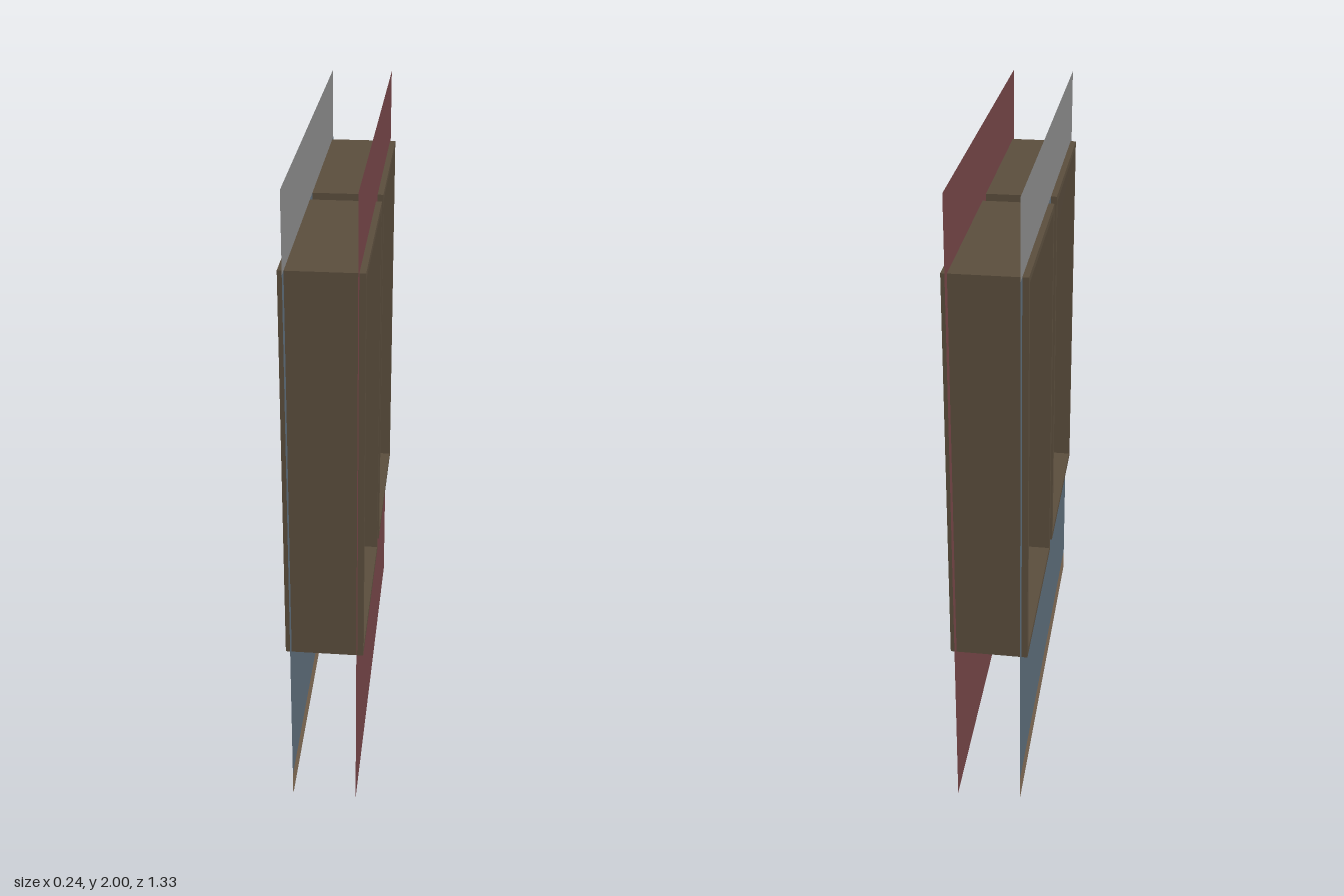
import * as THREE from 'three';

const material = (name, color, side = THREE.FrontSide) => {
  const m = new THREE.MeshStandardMaterial({ color, side });
  m.name = name;
  return m;
};

// Rectangle outline in the wall plane (z along the wall, y up)
function rect(Type, z0, z1, y0, y1) {
  const p = new Type();
  p.moveTo(z0, y0);
  p.lineTo(z1, y0);
  p.lineTo(z1, y1);
  p.lineTo(z0, y1);
  p.closePath();
  return p;
}

export function createModel() {
  const wood = material('brown wood', 0x5b4e3d);
  const maroon = material('maroon siding', 0x734446, THREE.DoubleSide);
  const blue = material('blue wall paint', 0x5b6a77, THREE.DoubleSide);
  const grey = material('grey wall paint', 0x888888, THREE.DoubleSide);
  const base = material('tan baseboard', 0x806b55, THREE.DoubleSide);
  const black = material('black screen', 0x0d0d0d, THREE.DoubleSide);

  const model = new THREE.Group();
  model.name = 'wallWithWindows';

  const W = 0.667, H = 2, WALL = 0.1;       // wall half length, height, half gap
  const Y0 = 0.537, Y1 = 1.77, HALF = 0.3;  // window opening
  const centres = [-0.333, 0.333];

  function add(parent, name, geometry, mat, x) {
    geometry.rotateY(-Math.PI / 2);
    const mesh = new THREE.Mesh(geometry, mat);
    mesh.name = name;
    mesh.position.x = x;
    parent.add(mesh);
  }

  // Flat sheet at a given x
  const sheet = (parent, name, mat, x, z0, z1, y0, y1, holes = []) => {
    const s = rect(THREE.Shape, z0, z1, y0, y1);
    s.holes.push(...holes);
    add(parent, name, new THREE.ShapeGeometry(s), mat, x);
  };

  // Rectangular frame running from x0 to x1
  const frame = (parent, name, x0, x1, outer, inner) => {
    const s = rect(THREE.Shape, ...outer);
    s.holes.push(rect(THREE.Path, ...inner));
    const g = new THREE.ExtrudeGeometry(s, { depth: x1 - x0, bevelEnabled: false });
    add(parent, name, g, wood, x1);
  };

  // Outside wall with two openings
  sheet(model, 'outsideWall', maroon, WALL, -W, W, 0, H,
    centres.map(c => rect(THREE.Path, c - HALF, c + HALF, Y0, Y1)));

  // Inside wall in painted bands
  const inside = new THREE.Group();
  inside.name = 'insideWall';
  model.add(inside);
  sheet(inside, 'baseboard', base, -WALL, -W, W, 0, 0.08);
  sheet(inside, 'lowerWall', blue, -WALL, -W, W, 0.08, Y0);
  sheet(inside, 'upperWall', grey, -WALL, -W, W, Y1, H);
  for (const [a, b] of [[-W, -0.633], [-0.033, 0.033], [0.633, W]]) {
    sheet(inside, 'wallStrip', blue, -WALL, a, b, Y0, Y1);
  }

  // Double-hung windows
  for (const c of centres) {
    const win = new THREE.Group();
    win.name = 'window';
    win.position.z = c;
    model.add(win);
    const J = 0.28, S = 0.246; // half widths inside the jamb and inside the sash
    frame(win, 'jamb', -0.118, 0.118, [-HALF, HALF, Y0, Y1], [-J, J, 0.557, 1.75]);
    frame(win, 'upperSash', 0.03, 0.06, [-J, J, 0.937, 1.75], [-S, S, 0.968, 1.714]);
    frame(win, 'lowerSash', 0, 0.03, [-J, J, 0.557, 0.937], [-S, S, 0.592, 0.906]);
    sheet(win, 'screen', black, 0.018, -S, S, 0.592, 0.906);
  }
  return model;
}
